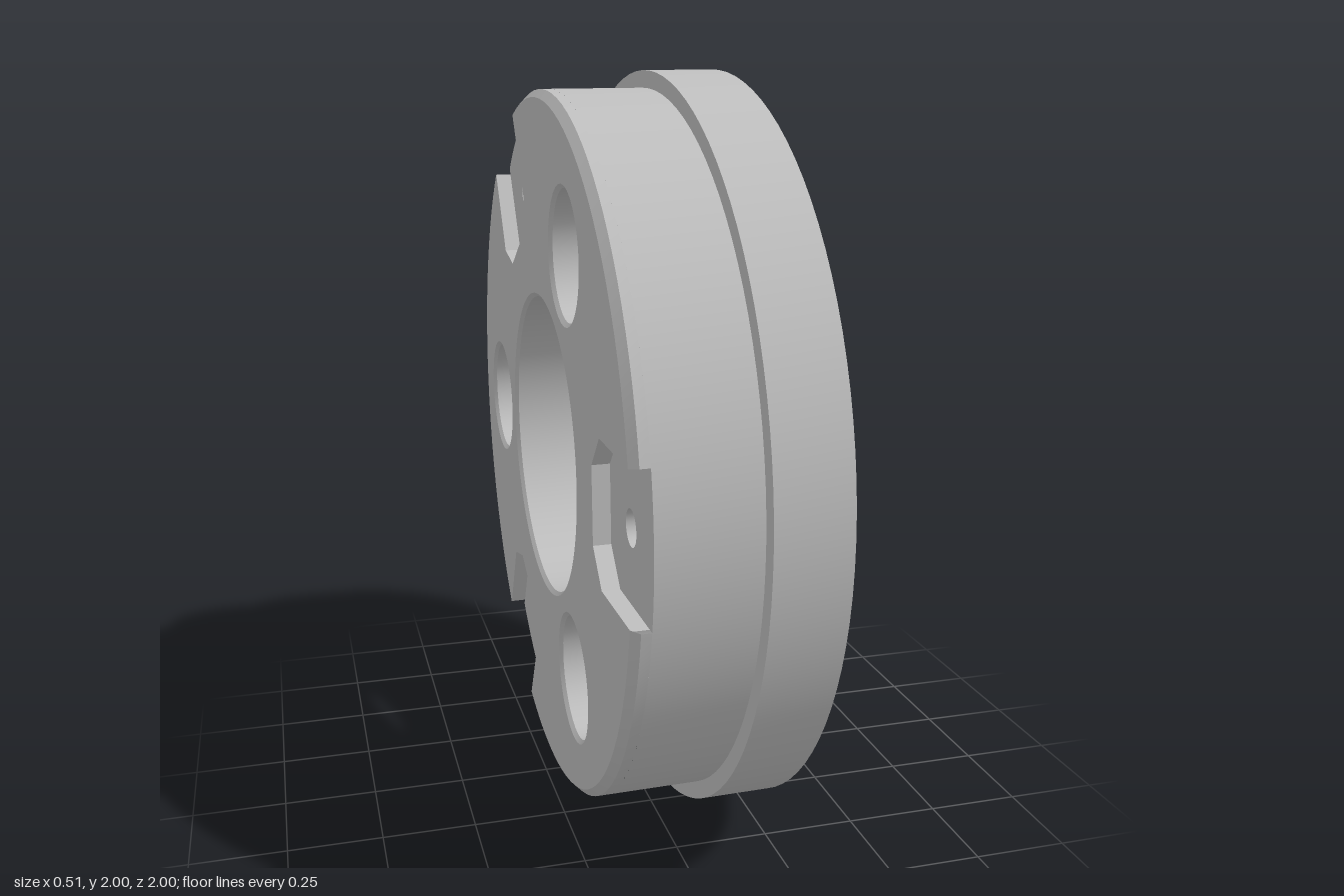
import * as THREE from 'three';
import { toCreasedNormals } from 'three/addons/utils/BufferGeometryUtils.js';

// Built along local z (front face at +z), then turned so that axis lies on x.
const FRONT = 0.242, STEP = 0.052, SLOT = -0.2, BACK = -0.245;
const RIM = 0.955, BACK_RIM = 0.935, BOLT = 0.645, SLOT_ANGLE = 0.195;
const deg = Math.PI / 180;
const polar = (r, a) => new THREE.Vector2(r * Math.cos(a), r * Math.sin(a));

function arc(r, a0, a1, n) {
  return Array.from({ length: n + 1 }, (_, i) => polar(r, a0 + ((a1 - a0) * i) / n));
}

function circle(r, n, c = new THREE.Vector2()) {
  return arc(r, 0, 2 * Math.PI, n).slice(0, n).map((p) => p.add(c));
}

// Flat face with holes at height z, facing +z or (flipped) -z
function face(outline, holes, z, flip) {
  const shape = new THREE.Shape(outline);
  holes.forEach((h) => shape.holes.push(new THREE.Path(h)));
  const geo = new THREE.ShapeGeometry(shape);
  if (flip) {
    geo.index.array.reverse();
    geo.computeVertexNormals();
  }
  return geo.translate(0, 0, z);
}

// Turned surface from [radius, z] pairs: rising z faces out, falling z faces in
function turned(profile, n, a0 = 0, sweep = 2 * Math.PI) {
  const pts = profile.map(([r, z]) => new THREE.Vector2(r, z));
  const geo = new THREE.LatheGeometry(pts, n, a0 + Math.PI / 2, sweep).rotateX(Math.PI / 2);
  return toCreasedNormals(geo, 0.4);
}

// Inward-facing wall along counter-clockwise points
function wall(points, z0, z1, closed) {
  const pos = [];
  const last = closed ? points.length : points.length - 1;
  for (let i = 0; i < last; i++) {
    const p = points[i], q = points[(i + 1) % points.length];
    pos.push(p.x, p.y, z0, q.x, q.y, z1, q.x, q.y, z0);
    pos.push(p.x, p.y, z0, p.x, p.y, z1, q.x, q.y, z1);
  }
  const geo = new THREE.BufferGeometry();
  geo.setAttribute('position', new THREE.Float32BufferAttribute(pos, 3));
  return toCreasedNormals(geo, 0.5);
}

// Ring sector with rounded corners
function pocketOutline(a) {
  const r0 = 0.515, r1 = 0.772, half = 15.5 * deg, c = 0.045;
  const at = (r, t) => polar(r, a + t);
  const s = new THREE.Shape();
  const corner = (r, t, rEnd, tEnd) => {
    const k = at(r, t), e = at(rEnd, tEnd);
    s.quadraticCurveTo(k.x, k.y, e.x, e.y);
  };
  const side = (r, t) => { const p = at(r, t); s.lineTo(p.x, p.y); };
  const sweep = (r, from, to) => {
    for (let i = 1; i <= 8; i++) side(r, from + ((to - from) * i) / 8);
  };
  const h1 = half - c / r1, h0 = half - c / r0;
  const start = at(r1, -h1);
  s.moveTo(start.x, start.y);
  sweep(r1, -h1, h1);
  corner(r1, half, r1 - c, half);
  side(r0 + c, half);
  corner(r0, half, r0, h0);
  sweep(r0, h0, -h0);
  corner(r0, -half, r0 + c, -half);
  side(r1 - c, -half);
  corner(r1, -half, r1, -h1);
  return s.getPoints(6).slice(0, -1);
}

// Key slot sides, from the rim inwards and back out
function slotSides(a) {
  const v = RIM * Math.sin(SLOT_ANGLE);
  const u = BACK_RIM * Math.cos(SLOT_ANGLE);
  return [[u, v], [0.665, v], [0.585, 0.1], [0.585, -0.1], [0.665, -v], [u, -v]]
    .map(([x, y]) => new THREE.Vector2(x, y).rotateAround(new THREE.Vector2(), a));
}

export function createModel() {
  const steel = new THREE.MeshStandardMaterial({ color: 0xbfbfbf });
  steel.name = 'plain steel';
  const disc = new THREE.Group();
  disc.name = 'flangedDisc';
  const add = (name, geo, at) => {
    const mesh = new THREE.Mesh(geo, steel);
    mesh.name = name;
    if (at) mesh.position.set(at.x, at.y, 0);
    disc.add(mesh);
  };

  const frontHoles = [circle(0.43, 96)];
  const backHoles = [circle(0.42, 96)];
  const backOutline = [];

  // Outer rim and stepped centre bore
  add('outerRim', turned([[RIM, SLOT], [RIM, STEP], [1, STEP], [1, FRONT]], 96));
  add('centreBore', turned([[0.43, FRONT], [0.43, 0.135], [0.32, 0.135], [0.32, 0.085],
    [0.41, 0.085], [0.41, BACK + 0.01], [0.42, BACK]], 96));

  // Six blind drilled holes
  for (let i = 0; i < 6; i++) {
    const c = polar(BOLT, (30 + 60 * i) * deg);
    frontHoles.push(circle(0.095, 32, c));
    add('blindHole', turned([[0.095, FRONT], [0.075, 0.22], [0.075, 0.02], [0, -0.025]], 32), c);
  }

  for (let i = 0; i < 3; i++) {
    // Through bolt hole, counterbored from the back
    const c = polar(BOLT, 120 * i * deg);
    frontHoles.push(circle(0.095, 32, c));
    backHoles.push(circle(0.175, 32, c));
    add('boltHole', turned([[0.095, FRONT], [0.085, 0.228], [0.085, 0.05], [0.165, 0.05],
      [0.165, BACK + 0.01], [0.175, BACK]], 32), c);

    // Front pocket
    const a = (60 + 120 * i) * deg;
    const pocket = pocketOutline(a);
    frontHoles.push(pocket);
    add('pocketWall', wall(pocket, 0, FRONT, true));
    add('pocketFloor', face(pocket, [], 0, false));

    // Back key slot with a small screw hole
    const sides = slotSides(a);
    const screw = polar(0.77, a);
    const floor = [...sides, ...arc(RIM, a - SLOT_ANGLE, a + SLOT_ANGLE, 12)];
    add('slotWall', wall(sides, BACK, SLOT, false));
    add('slotFloor', face(floor, [circle(0.045, 24, screw)], SLOT, true));
    add('screwHole', turned([[0, -0.06], [0.045, -0.08], [0.045, SLOT]], 24), screw);

    // Chamfered rim between this slot and the next
    const from = a + SLOT_ANGLE, sweep = 120 * deg - 2 * SLOT_ANGLE;
    add('rimChamfer', turned([[BACK_RIM, BACK], [RIM, BACK + 0.02], [RIM, SLOT]], 28, from, sweep));
    backOutline.push(...sides.slice(1, 5).reverse(), ...arc(BACK_RIM, from, from + sweep, 28));
  }

  add('frontFace', face(circle(1, 96), frontHoles, FRONT, false));
  add('backFace', face(backOutline, backHoles, BACK, true));

  // Stand on edge, leaning very slightly
  disc.rotation.y = Math.PI / 2;
  const model = new THREE.Group();
  model.name = 'machinedFlange';
  model.add(disc);
  model.position.y = 1;
  model.rotation.z = 0.0125;
  const root = new THREE.Group();
  root.name = 'model';
  root.add(model);
  return root;
}
